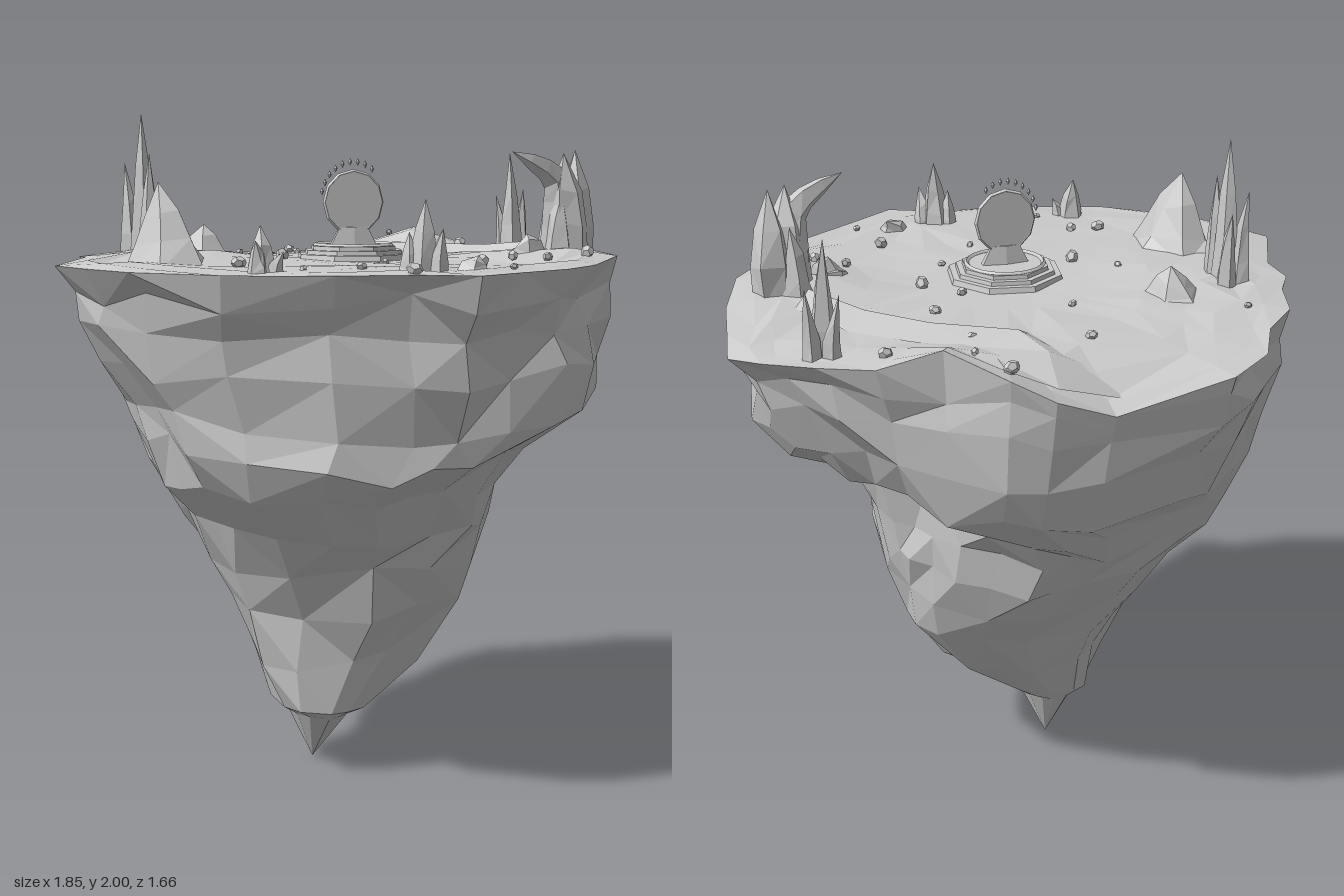
import * as THREE from 'three';

const material = new THREE.MeshStandardMaterial({ color: 0xcccccc, flatShading: true, side: THREE.DoubleSide });

let seed = 7;
const rand = () => { seed = (seed * 16807) % 2147483647; return seed / 2147483647; };
const jitter = (a) => (rand() * 2 - 1) * a;

// Rim of the island seen from above (x, z), counter-clockwise
const RIM = [
  [0.92, -0.19], [0.86, -0.3], [0.75, -0.42], [0.62, -0.53], [0.46, -0.61], [0.33, -0.75], [0.22, -0.8],
  [0.05, -0.81], [-0.3, -0.83], [-0.44, -0.76], [-0.52, -0.64], [-0.64, -0.55], [-0.7, -0.41], [-0.77, -0.32],
  [-0.78, -0.2], [-0.93, 0.05], [-0.88, 0.2], [-0.8, 0.37], [-0.6, 0.57], [-0.32, 0.7], [-0.1, 0.74],
  [0.05, 0.83], [0.22, 0.74], [0.4, 0.65], [0.55, 0.53], [0.73, 0.33], [0.83, 0.11], [0.88, -0.06],
];

// Underside levels: y, xMin, xMax, zMin, zMax
const LEVELS = [
  [1.48, -0.88, 0.89, -0.81, 0.77], [1.38, -0.84, 0.86, -0.8, 0.71], [1.26, -0.77, 0.82, -0.8, 0.68],
  [1.12, -0.69, 0.74, -0.72, 0.66], [1.03, -0.65, 0.54, -0.65, 0.65], [0.92, -0.61, 0.45, -0.59, 0.58],
  [0.78, -0.5, 0.42, -0.51, 0.48], [0.66, -0.44, 0.38, -0.43, 0.4], [0.52, -0.37, 0.34, -0.34, 0.32],
  [0.36, -0.31, 0.21, -0.24, 0.23], [0.2, -0.25, 0, -0.15, 0.19], [0.17, -0.2, -0.05, -0.13, 0.15],
];

// Dents in the underside: direction, half angle, y, half height, depth
const DENTS = [[0.5, 0.3, 0.92, 0.13, 0.1], [1.4, 0.2, 0.82, 0.12, 0.14], [-0.55, 0.45, 1.15, 0.25, 0.2], [2.45, 0.4, 0.6, 0.16, 0.22]];

const gauss = (d, r) => Math.exp(-((d / r) ** 2));
const bump = (x, z, cx, cz, r) => gauss(Math.hypot(x - cx, z - cz), r);
const ground = (x, z) => 1.565 + 0.08 * bump(x, z, 0.47, -0.66, 0.14) + 0.04 * bump(x, z, 0.6, 0.2, 0.18)
  + 0.025 * bump(x, z, -0.55, -0.1, 0.3) - 0.11 * bump(x, z, 0.07, -0.83, 0.17)
  - 0.05 * bump(x, z, -0.3, -0.85, 0.25) - 0.03 * bump(x, z, 0.95, -0.2, 0.15);

function named(geometry, name) {
  const mesh = new THREE.Mesh(geometry, material);
  mesh.name = name;
  return mesh;
}

// Skin closed or open rows of [x, y, z] points
function skin(rows, closed, name) {
  const n = rows[0].length, index = [];
  for (let j = 0; j < rows.length - 1; j++) {
    for (let i = 0; i < (closed ? n : n - 1); i++) {
      const k = (i + 1) % n, a = j * n + i, b = j * n + k, c = a + n, d = b + n;
      if (rand() < 0.5) index.push(a, c, b, b, c, d);
      else index.push(a, c, d, a, d, b);
    }
  }
  const g = new THREE.BufferGeometry();
  g.setAttribute('position', new THREE.Float32BufferAttribute(rows.flat(2), 3));
  g.setIndex(index);
  const flat = g.toNonIndexed();
  flat.computeVertexNormals();
  return named(flat, name);
}

// One level of the underside: the rim shape blends into a rounded block further down
function underRow([y, x0, x1, z0, z1]) {
  const blend = THREE.MathUtils.clamp((1.5 - y) / 0.35, 0, 1);
  const rough = y > 0.3 ? 0.03 : 0.005;
  const row = RIM.map(([ox, oz]) => {
    const a = Math.atan2(oz, ox), c = Math.cos(a), s = Math.sin(a);
    const e = y > 0.3 ? 2.2 : 3;
    const r = (Math.abs(c) ** e + Math.abs(s) ** e) ** (-1 / e);
    const dent = DENTS.reduce((sum, [da, w, dy, h, d]) => sum + d * gauss(a - da, w) * gauss(y - dy, h), 0);
    const k = 1 - dent + jitter(0.035);
    const ux = THREE.MathUtils.lerp(ox / 0.925, c * r, blend) * k;
    const uz = THREE.MathUtils.lerp(oz / 0.83, s * r, blend) * k;
    // The overhang's lower edge rises at the sides and hangs at front and back
    const wave = 0.045 * Math.cos(2 * a) * gauss(y - 1.05, 0.12);
    return [(x0 + x1) / 2 + ux * (x1 - x0) / 2, Math.min(y + wave + jitter(rough), ground(ox, oz) - 0.05),
      (z0 + z1) / 2 + uz * (z1 - z0) / 2];
  });
  // Merge columns towards the point for larger facets
  return row.map((_, i) => row[y < 0.7 ? i - (i % 2) : i]);
}

function island() {
  const group = new THREE.Group();
  group.name = 'island';
  const rim = RIM.map(([x, z]) => [x, ground(x, z) - 0.005, z]);

  // Plateau, from the middle out to the rim
  const plateau = [0, 0.3, 0.5, 0.68, 0.82, 0.92].map((s) => RIM.map(([x, z]) => {
    const t = s + (s > 0.3 ? jitter(0.03) : 0);
    return [x * t, ground(x * t, z * t) + (s > 0.3 ? jitter(0.008) : 0), z * t];
  }));
  group.add(skin([...plateau, rim], true, 'plateau'));

  // Rocky underside ending in a point
  group.add(skin([rim, ...LEVELS.map(underRow), RIM.map(() => [-0.12, 0, -0.04])], true, 'underside'));

  // Worn bank crossing the plateau
  const low = [[0.0, -0.76], [0.04, -0.64], [0.12, -0.42], [0.3, -0.28], [0.45, -0.1], [0.58, 0.06]];
  const high = [[0.2, -0.77], [0.15, -0.6], [0.17, -0.45], [0.37, -0.3], [0.5, -0.13], [0.6, 0.05]];
  const east = [[0.32, -0.7], [0.3, -0.6], [0.3, -0.48], [0.45, -0.36], [0.58, -0.2], [0.66, 0]];
  const row = (pts, lift) => pts.map(([x, z]) => [x, ground(x, z) + lift, z]);
  group.add(skin([row(low, -0.005), row(high, 0.025), row(east, 0)], false, 'bank'));
  return group;
}

// Faceted rock spike: base x, z, radii, top height, lean of the tip, sides, belly
function spike(x, z, rx, rz, top, leanX = 0, leanZ = 0, sides = 5, belly = 0.7) {
  const y0 = ground(x, z) - 0.03, rows = [];
  const twist = rand() * 6;
  [[1, 0], [0.55 + belly * 0.4, 0.3], [0.3 + belly * 0.35, 0.62], [0, 1]].forEach(([r, t]) => {
    rows.unshift(Array.from({ length: sides }, (_, i) => {
      const a = twist - (i / sides) * Math.PI * 2, w = r * (1 + jitter(0.12));
      return [x + Math.cos(a) * rx * w + leanX * t * t, y0 + (top - y0) * t + (t > 0 && t < 1 ? jitter(0.015) : 0),
        z + Math.sin(a) * rz * w + leanZ * t * t];
    }));
  });
  return skin(rows, true, 'spike');
}

function cluster(name, spikes) {
  const group = new THREE.Group();
  group.name = name;
  spikes.forEach((s) => group.add(spike(...s)));
  return group;
}

// Curved horn swept along a path with a tapering section
function horn() {
  const path = new THREE.CatmullRomCurve3([[0.61, 1.56, 0.18], [0.61, 1.7, 0.18], [0.59, 1.8, 0.19],
    [0.52, 1.845, 0.21], [0.42, 1.885, 0.235]].map((p) => new THREE.Vector3(...p)));
  const rows = [];
  for (let j = 0; j <= 6; j++) {
    const t = j / 6, p = path.getPoint(t), d = path.getTangent(t);
    const side = new THREE.Vector3(-d.y, d.x, 0).normalize(), r = 0.07 * (1 - t) ** 0.6;
    rows.unshift(Array.from({ length: 5 }, (_, i) => {
      const a = (i / 5) * Math.PI * 2;
      return p.clone().addScaledVector(side, Math.cos(a) * r).add(new THREE.Vector3(0, 0, Math.sin(a) * r * 0.8)).toArray();
    }));
  }
  return skin(rows, true, 'curvedHorn');
}

function shrine() {
  const group = new THREE.Group();
  group.name = 'shrine';
  group.position.set(-0.015, 1.56, 0.045);
  // Low octagonal steps
  [[0.18, 0.022], [0.158, 0.034], [0.138, 0.046]].forEach(([r, h]) => {
    const step = named(new THREE.CylinderGeometry(r - 0.006, r, h, 8), 'step');
    step.position.y = h / 2;
    step.rotation.y = 0.1;
    group.add(step);
  });
  const ring = named(new THREE.TorusGeometry(0.115, 0.007, 4, 24), 'floorRing');
  ring.rotation.x = Math.PI / 2;
  ring.position.y = 0.047;
  group.add(ring);

  // Upright disc on a foot, with a raised frame and a crown of floating shards
  const portal = new THREE.Group();
  portal.name = 'portal';
  portal.position.y = 0.175;
  portal.rotation.y = -0.12;
  const disc = named(new THREE.CylinderGeometry(0.086, 0.086, 0.014, 12), 'disc');
  disc.rotation.x = Math.PI / 2;
  const frame = named(new THREE.TorusGeometry(0.086, 0.008, 5, 12), 'frame');
  disc.scale.z = frame.scale.y = 1.04;
  const foot = named(new THREE.CylinderGeometry(0.05, 0.085, 0.06, 6), 'foot');
  foot.scale.z = 0.25;
  foot.position.y = -0.105;
  portal.add(disc, frame, foot);
  for (let i = 0; i < 9; i++) {
    const a = 0.95 + i * 0.24;
    const shard = named(new THREE.OctahedronGeometry(0.009), 'shard');
    shard.scale.set(0.7, 1.3, 0.7);
    shard.position.set(Math.cos(a) * 0.1, Math.sin(a) * 0.12, 0);
    portal.add(shard);
  }
  group.add(portal);
  return group;
}

function pebbles() {
  const group = new THREE.Group();
  group.name = 'pebbles';
  const spots = [[-0.53, -0.5], [-0.02, -0.52], [0.3, -0.69], [0.37, -0.61], [0.29, -0.41], [0.56, -0.45], [-0.08, -0.28],
    [0.17, -0.06], [0.25, 0.05], [0.12, 0.21], [0.39, 0.31], [0.22, 0.46], [-0.03, 0.34], [-0.39, 0.36], [-0.47, 0.33],
    [-0.35, 0.53], [-0.19, 0.56], [-0.1, 0.72], [0.23, 0.65], [0.46, 0.4], [-0.25, 0.07], [-0.34, -0.06], [0.3, -0.17], [0.6, 0.38]];
  spots.forEach(([x, z], i) => {
    const r = 0.012 + (i % 3) * 0.005;
    const stone = named(new THREE.DodecahedronGeometry(r), 'pebble');
    stone.position.set(x, ground(x, z) + r * 0.5, z);
    stone.scale.set(1.1, 0.8, 0.9);
    stone.rotation.set(rand() * 3, rand() * 3, 0);
    group.add(stone);
  });
  return group;
}

export function createModel() {
  const model = new THREE.Group();
  model.name = 'floatingIsland';
  model.add(island(), shrine(), pebbles(), horn());
  // Spike: x, z, rx, rz, top, leanX, leanZ, sides, belly
  model.add(
    cluster('tallSpires', [[-0.58, -0.28, 0.042, 0.042, 2, 0, 0], [-0.61, -0.31, 0.035, 0.035, 1.85, -0.01, -0.02],
      [-0.56, -0.32, 0.03, 0.035, 1.8, 0.01, -0.04], [-0.57, -0.24, 0.035, 0.035, 1.88, 0, 0.01]]),
    cluster('rockCone', [[-0.61, 0.07, 0.13, 0.19, 1.8, -0.02, 0.01, 6, 0.25]]),
    cluster('lowRock', [[-0.38, -0.33, 0.1, 0.12, 1.66, 0.01, 0, 5, 0.3]]),
    cluster('hornSpires', [[0.63, 0.18, 0.07, 0.07, 1.88, -0.02, 0.02, 6, 1.4], [0.68, 0.14, 0.055, 0.06, 1.89, 0, 0, 5, 1.3],
      [0.59, 0.21, 0.05, 0.05, 1.76, 0, 0.02], [0.62, 0.1, 0.05, 0.04, 1.78, 0.01, 0.01], [0.48, 0.22, 0.08, 0.03, 1.64, 0, 0]]),
    cluster('sideSpires', [[0.69, -0.32, 0.042, 0.042, 1.88, -0.01, 0], [0.73, -0.34, 0.03, 0.03, 1.76, 0.02, -0.02],
      [0.68, -0.36, 0.03, 0.03, 1.74, -0.02, -0.02]]),
    cluster('frontSpires', [[-0.03, 0.62, 0.05, 0.045, 1.76, 0, 0.01], [-0.06, 0.61, 0.04, 0.04, 1.67, -0.01, 0],
      [0.0, 0.64, 0.035, 0.035, 1.68, 0.01, 0.02], [0.11, 0.62, 0.07, 0.05, 1.6, 0.04, -0.03]]),
    cluster('cornerSpires', [[-0.46, 0.51, 0.045, 0.045, 1.69, 0, -0.02], [-0.48, 0.53, 0.035, 0.03, 1.65, -0.01, 0.01],
      [-0.44, 0.53, 0.035, 0.025, 1.62, 0.03, 0.01]]),
  );
  return model;
}
